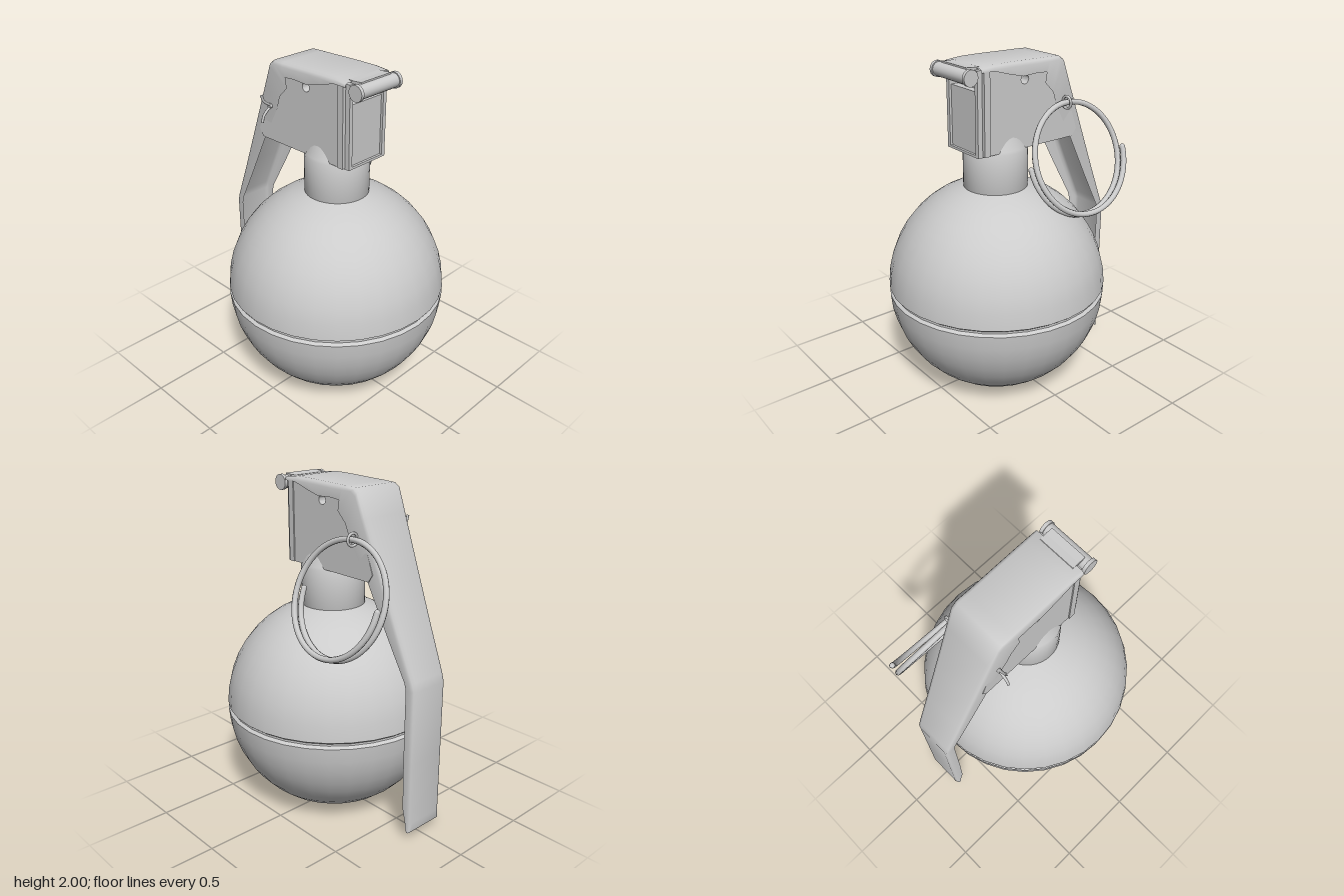
import * as THREE from 'three';
import { toCreasedNormals } from 'three/addons/utils/BufferGeometryUtils.js';

const mat = new THREE.MeshStandardMaterial({ color: 0xcccccc });
const thin = new THREE.MeshStandardMaterial({ color: 0xcccccc, side: THREE.DoubleSide });
const V2 = (x, y) => new THREE.Vector2(x, y);
const V3 = (x, y, z) => new THREE.Vector3(x, y, z);

export function createModel() {
  const group = new THREE.Group();
  const add = (name, geo, x = 0, y = 0, z = 0, m = mat) => {
    const mesh = new THREE.Mesh(geo, m);
    mesh.name = name;
    mesh.position.set(x, y, z);
    group.add(mesh);
    return mesh;
  };
  // profile given as [z, y], extruded across x and centred on it
  const extrudeAcross = (pts, width, hole) => {
    const s = new THREE.Shape(pts.map(p => V2(...p)));
    if (hole) s.holes.push(hole);
    return new THREE.ExtrudeGeometry(s, { depth: width, bevelEnabled: false })
      .rotateY(-Math.PI / 2).translate(width / 2, 0, 0);
  };
  const wire = (pts, r, seg = 16) =>
    new THREE.TubeGeometry(new THREE.CatmullRomCurve3(pts), seg, r, 8);

  // Round body with a flat base and a groove at the equator
  const R = 0.66, cy = 0.62;
  const profile = [V2(0, 0)];
  const arc = (a, b, n) => {
    for (let i = 0; i <= n; i++) {
      const t = a + (b - a) * i / n;
      profile.push(V2(R * Math.cos(t), cy + R * Math.sin(t)));
    }
  };
  arc(-1.22, -0.03, 9);
  profile.push(V2(R - 0.018, cy - 0.006), V2(R - 0.018, cy + 0.006));
  arc(0.03, 1.3, 9);
  add('body', toCreasedNormals(new THREE.LatheGeometry(profile, 32), 0.5), 0, 0, 0.06);

  // Neck with a tapered shoulder that shows beside the housing
  const neck = [[0.17, 1.2], [0.19, 1.25], [0.19, 1.485], [0.183, 1.5], [0.155, 1.58], [0, 1.58]];
  add('neck', toCreasedNormals(new THREE.LatheGeometry(neck.map(p => V2(...p)), 40), 0.5), 0, 0, 0.065);

  // Fuse housing with a cross hole
  const hole = new THREE.Path().absarc(-0.02, 1.89, 0.027, 0, Math.PI * 2, true);
  add('housing', toCreasedNormals(extrudeAcross(
    [[0.235, 1.495], [0.235, 1.965], [-0.27, 1.955], [-0.42, 1.54], [-0.39, 1.495]], 0.316, hole), 0.5));

  // Front plate with a recessed panel and a slot
  const plate = new THREE.Shape([V2(-0.145, 1.49), V2(0.145, 1.49), V2(0.145, 1.975), V2(-0.145, 1.975)]);
  plate.holes.push(new THREE.Path([V2(-0.12, 1.505), V2(-0.12, 1.9), V2(0.12, 1.9), V2(0.12, 1.505)]));
  add('frontFrame', new THREE.ExtrudeGeometry(plate, { depth: 0.065, bevelEnabled: false }), 0, 0, 0.23);
  add('frontPanel', new THREE.BoxGeometry(0.24, 0.35, 0.05), 0, 1.68, 0.255);
  for (const s of [-1, 1]) {
    add('cornerStrip', new THREE.BoxGeometry(0.02, 0.47, 0.04), s * 0.155, 1.73, 0.245);
  }

  // Safety lever: U channel lofted along [outer z, outer y, inner z, inner y]
  const stations = [
    [0.285, 1.985, 0.285, 1.965], [0.2, 1.995, 0.2, 1.965], [0.1, 1.995, 0.1, 1.935],
    [0, 1.993, 0, 1.91], [-0.1, 1.99, -0.1, 1.915], [-0.2, 1.988, -0.17, 1.91],
    [-0.275, 1.985, -0.16, 1.85], [-0.305, 1.965, -0.22, 1.79], [-0.36, 1.83, -0.25, 1.71],
    [-0.49, 1.51, -0.38, 1.49], [-0.6, 1.24, -0.52, 1.22], [-0.705, 0.99, -0.65, 0.98],
    [-0.72, 0.94, -0.66, 0.94], [-0.72, 0.5, -0.66, 0.5], [-0.72, 0.2, -0.665, 0.2],
    [-0.72, 0.12, -0.685, 0.12], [-0.72, 0.07, -0.692, 0.07], [-0.712, 0.055, -0.7, 0.055],
  ];
  const pos = [], index = [], n = 8;
  stations.forEach(([oz, oy, iz, iy], i) => {
    const L = Math.hypot(iz - oz, iy - oy), dz = (iz - oz) / L, dy = (iy - oy) / L;
    const c = Math.min(0.025, L * 0.8);
    const w = 0.17 - 0.04 * THREE.MathUtils.clamp((-0.3 - oz) / 0.42, 0, 1);
    const half = [[w, L], [w, c], [w - 0.3 * c, 0.3 * c], [w - c, 0]];
    const section = [...half, ...half.map(([x, d]) => [-x, d]).reverse()];
    for (const [x, d] of section) pos.push(x, oy + dy * d, oz + dz * d);
    if (i) for (let j = 0; j < n - 1; j++) {
      const a = (i - 1) * n + j, b = a + n;
      index.push(a, b, a + 1, a + 1, b, b + 1);
    }
  });
  const lever = new THREE.BufferGeometry();
  lever.setAttribute('position', new THREE.Float32BufferAttribute(pos, 3));
  lever.setIndex(index);
  add('lever', toCreasedNormals(lever, 0.85), 0, 0, 0, thin);

  // Hinge pin with rims, held by a curled tab
  const pin = (r, len) => new THREE.CylinderGeometry(r, r, len, 24).rotateZ(Math.PI / 2);
  add('hingePin', pin(0.04, 0.32), 0, 1.945, 0.345);
  for (const s of [-1, 1]) add('hingePinRim', pin(0.046, 0.02), s * 0.15, 1.945, 0.345);
  add('hingeTab', extrudeAcross([[0.24, 1.975], [0.26, 1.99], [0.3, 1.99], [0.345, 1.994],
    [0.345, 1.98], [0.3, 1.975], [0.285, 1.95], [0.25, 1.95]], 0.23));

  // Split pin: shaft, eye and splayed ends
  add('splitPin', pin(0.012, 0.36), 0, 1.71, -0.305);
  add('splitPinEye', new THREE.TorusGeometry(0.035, 0.008, 8, 24), 0.195, 1.72, -0.305);
  for (const s of [-1, 1]) {
    add('splitPinEnd', wire([V3(-0.15, 0, 0), V3(-0.185, s * 0.015, 0),
      V3(-0.22, s * 0.045, 0), V3(-0.234, s * 0.085, 0)], 0.008), 0, 1.71, -0.305);
  }

  // Pull ring: one and a half turns of wire in a tilted plane
  const up = V3(-0.35, 0.937, 0), out = V3(0.937, 0.35, 0), turns = [];
  for (let i = 0; i <= 60; i++) {
    const t = i / 60, a = t * Math.PI * 3;
    turns.push(V3(0.3, 1.41, -0.31)
      .addScaledVector(up, -0.328 * Math.sin(a))
      .addScaledVector(out, 0.04 - 0.075 * t)
      .add(V3(0, 0, -0.328 * Math.cos(a))));
  }
  add('pullRing', wire(turns, 0.017, 120));
  for (const p of [turns[0], turns[60]]) {
    add('pullRingEnd', new THREE.SphereGeometry(0.017, 8, 6), p.x, p.y, p.z);
  }
  return group;
}
